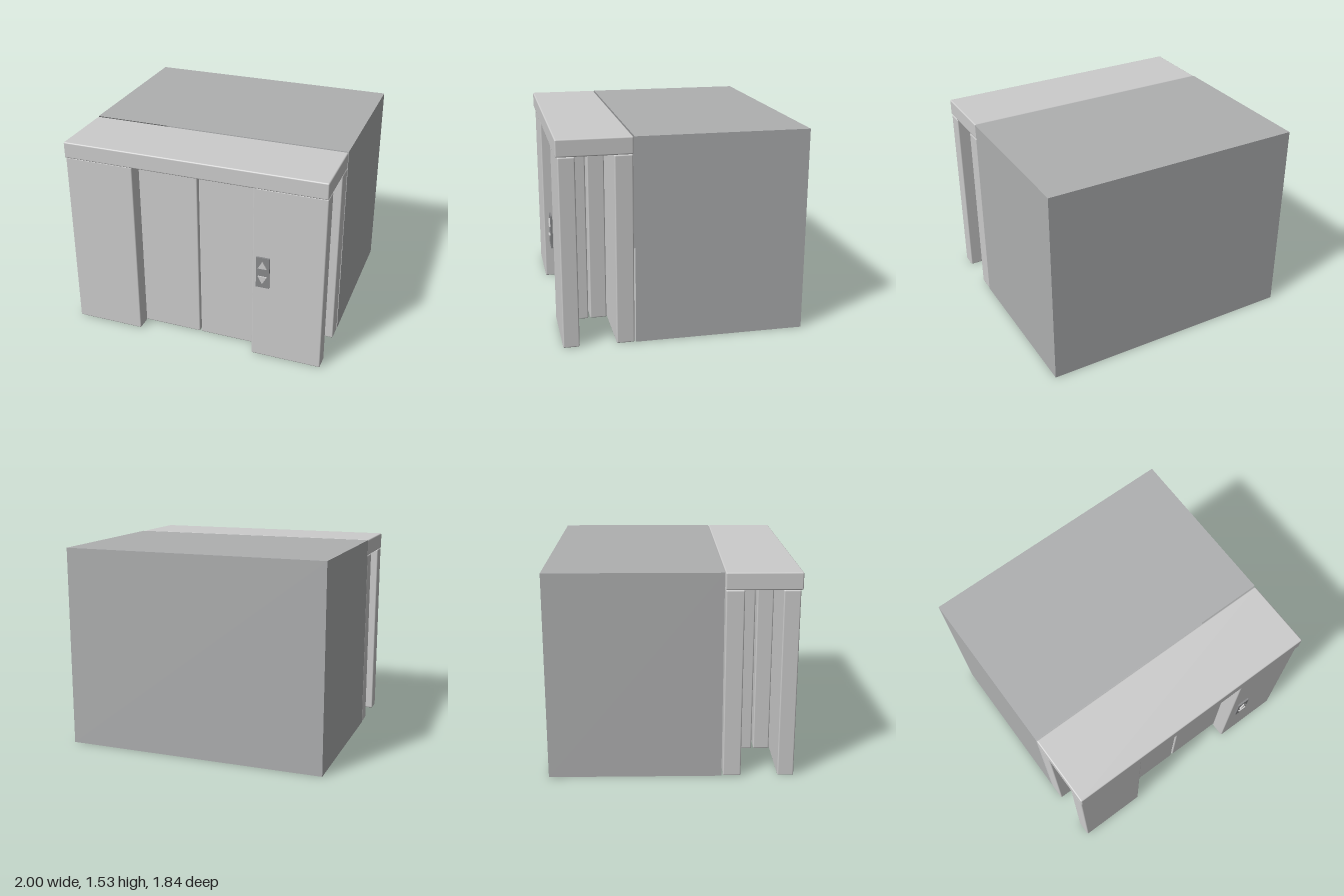
import * as THREE from 'three';
import { RoundedBoxGeometry } from 'three/addons/geometries/RoundedBoxGeometry.js';

const mat = (color, side = THREE.FrontSide) => new THREE.MeshStandardMaterial({ color, side });

export function createModel() {
  const group = new THREE.Group();
  const frameMat = mat(0xc2c4c2);
  const doorMat = mat(0xcccccc);
  const cabinMat = mat(0xaeafb0, THREE.DoubleSide);
  const panelMat = mat(0x88898b);

  const add = (name, geometry, material, x = 0, y = 0, z = 0) => {
    const mesh = new THREE.Mesh(geometry, material);
    mesh.name = name;
    mesh.position.set(x, y, z);
    group.add(mesh);
    return mesh;
  };

  // Softly bevelled block given by its extents
  const block = (name, material, [x0, x1], [y0, y1], [z0, z1]) =>
    add(name, new RoundedBoxGeometry(x1 - x0, y1 - y0, z1 - z0, 2, 0.01), material,
      (x0 + x1) / 2, (y0 + y1) / 2, (z0 + z1) / 2);

  // Cabin: a sharp-edged shell, open towards the doors
  const cabin = new THREE.BoxGeometry(2, 1.53, 1.27);
  const index = Array.from(cabin.index.array);
  index.splice(24, 6); // front face
  cabin.setIndex(index);
  add('cabin', cabin, cabinMat, 0, 0.765, -0.285);

  // Lintel over both door layers
  block('lintel', frameMat, [-1, 1], [1.405, 1.53], [0.357, 0.897]);

  // Outer and inner pillars, with a pair of sliding doors for each
  const height = [0, 1.405];
  for (const [side, s] of [['left', 1], ['right', -1]]) {
    const span = (a, b) => (s > 0 ? [a, b] : [-b, -a]);
    block(side + 'OuterPillar', frameMat, span(0.463, 1), height, [0.762, 0.882]);
    block(side + 'OuterDoor', doorMat, span(0.006, 0.52), height, [0.636, 0.76]);
    block(side + 'InnerDoor', frameMat, span(0.006, 0.52), height, [0.494, 0.622]);
    block(side + 'InnerPillar', frameMat, span(0.463, 1), height, [0.36, 0.492]);
  }

  // Call panel with up and down arrow buttons
  add('callPanel', new THREE.BoxGeometry(0.1, 0.246, 0.014), panelMat, 0.551, 0.748, 0.903);
  const arrow = new THREE.Shape([
    new THREE.Vector2(-0.034, -0.03), new THREE.Vector2(0.034, -0.03), new THREE.Vector2(0, 0.03),
  ]);
  const arrowGeo = new THREE.ExtrudeGeometry(arrow, { depth: 0.012, bevelEnabled: false });
  add('upButton', arrowGeo, frameMat, 0.551, 0.816, 0.908);
  add('downButton', arrowGeo, frameMat, 0.551, 0.69, 0.908).rotation.z = Math.PI;

  return group;
}
